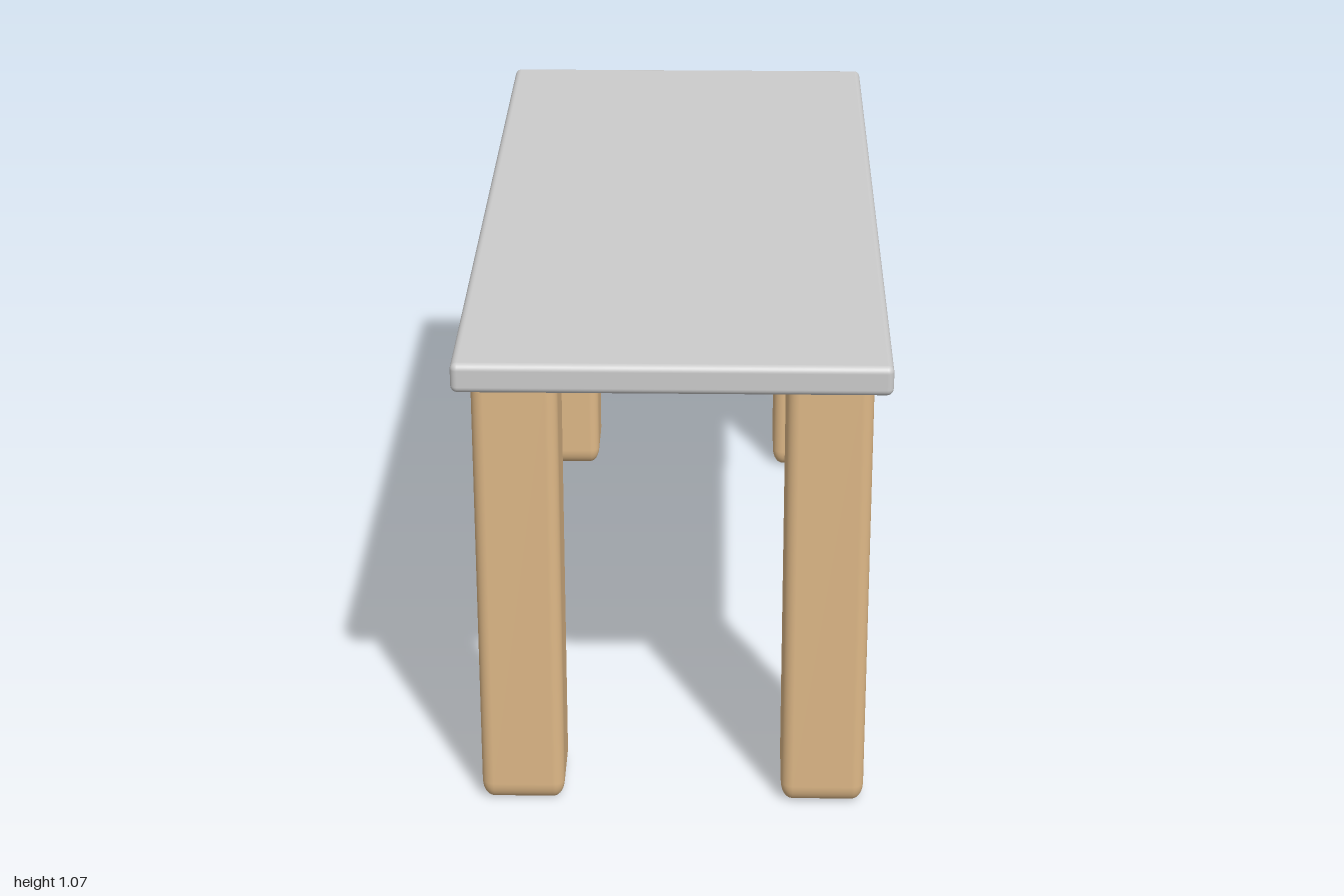
import * as THREE from 'three';
import { RoundedBoxGeometry } from 'three/addons/geometries/RoundedBoxGeometry.js';

export function createModel() {
  const table = new THREE.Group();
  table.name = 'table';
  const grey = new THREE.MeshStandardMaterial({ color: 0xcccccc });
  const wood = new THREE.MeshStandardMaterial({ color: 0xdeb887 });

  // Table top: thin slab with softened edges
  const top = new THREE.Mesh(new RoundedBoxGeometry(0.916, 0.066, 2, 4, 0.015), grey);
  top.name = 'tableTop';
  top.position.y = 1.033;
  table.add(top);

  // Legs: rounded posts, rounding stretched vertically; upper ends sit inside the top
  const legHeight = 1.04, stretch = 1.6;
  const legGeometry = new RoundedBoxGeometry(0.182, legHeight / stretch, 0.182, 4, 0.026);
  legGeometry.scale(1, stretch, 1);
  for (const [endName, z] of [['front', 0.87], ['back', -0.87]]) {
    for (const [sideName, x] of [['Left', 0.33], ['Right', -0.33]]) {
      const leg = new THREE.Mesh(legGeometry, wood);
      leg.name = `${endName}${sideName}Leg`;
      leg.position.set(x, legHeight / 2, z);
      table.add(leg);
    }
  }
  return table;
}
